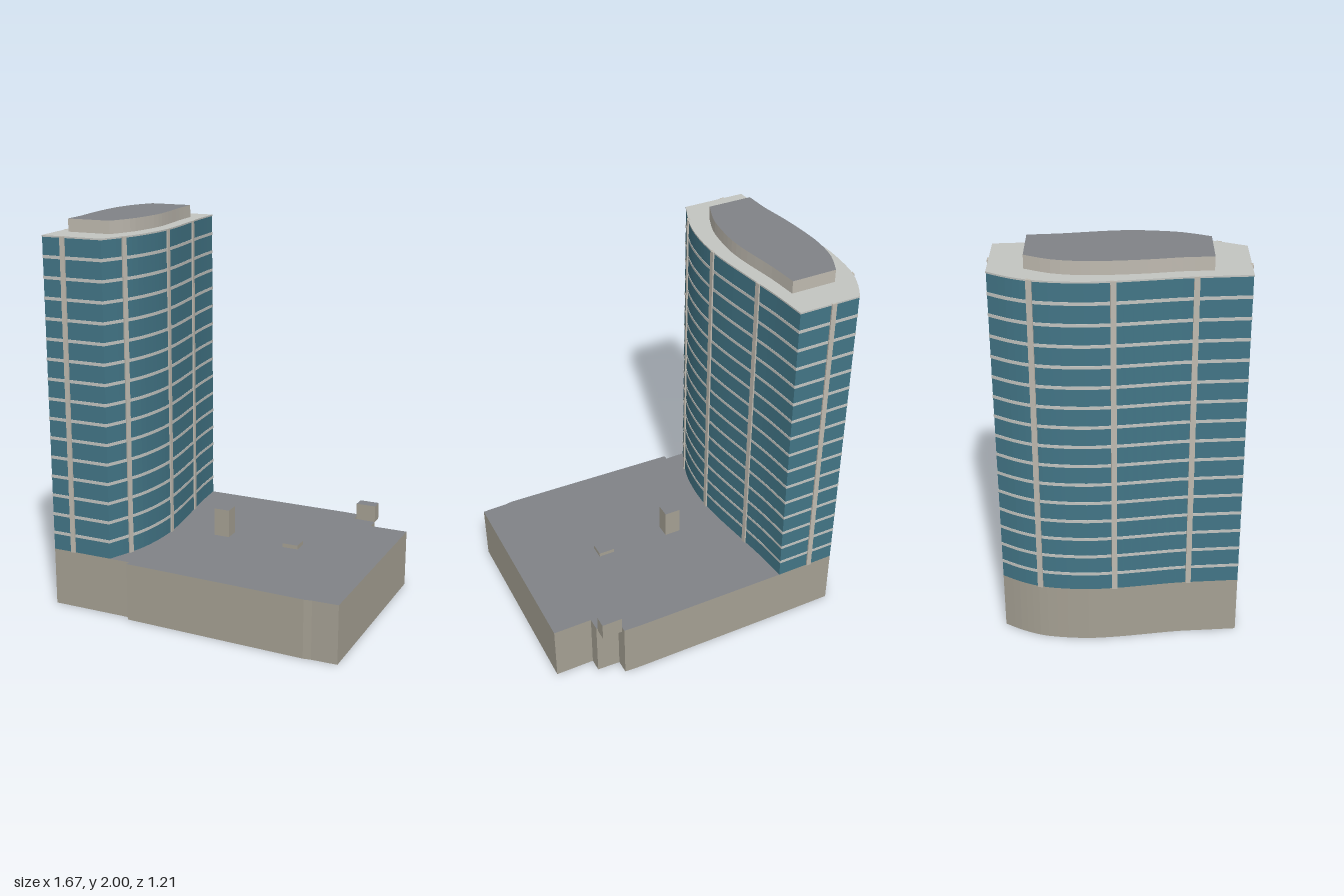
import * as THREE from 'three';

const mat = (name, color) => {
  const m = new THREE.MeshStandardMaterial({ color });
  m.name = name;
  return m;
};

export function createModel() {
  const glass = mat('blue glass', 0x427586);
  const trim = mat('pale trim', 0xc3c5c1);
  const pier = mat('warm pier', 0xbfbab0);
  const stone = mat('beige stone', 0xa5a093);
  const roof = mat('grey roof', 0x808387);

  const group = new THREE.Group();
  group.name = 'towerWithPodium';

  const add = (name, geo, material) => {
    const mesh = new THREE.Mesh(geo, material);
    mesh.name = name;
    group.add(mesh);
    return mesh;
  };

  // Upright prism over an [x, z] outline, with its own material on top
  const prism = (name, outline, y0, y1, wall, top = wall) => {
    const shape = new THREE.Shape(outline.map(([x, z]) => new THREE.Vector2(x, -z)));
    const geo = new THREE.ExtrudeGeometry(shape, { depth: y1 - y0, bevelEnabled: false });
    geo.rotateX(-Math.PI / 2).translate(0, y0, 0);
    const lids = geo.groups[0].count;
    const total = geo.attributes.position.count;
    geo.clearGroups();
    geo.addGroup(0, lids / 2, 0);
    geo.addGroup(lids / 2, lids / 2, 1);
    geo.addGroup(lids, total - lids, 0);
    return add(name, geo, [wall, top]);
  };

  // Smooth facade line through a few [x, z] points
  const smooth = (pts, n = 28) =>
    new THREE.SplineCurve(pts.map(([x, z]) => new THREE.Vector2(x, z)))
      .getPoints(n).map((p) => [p.x, p.y]);

  const baseY = 0.305, topY = 1.935;

  // Tower plan: curved east and west sides, straight ends
  const east = smooth([[-0.4, -0.6], [-0.385, -0.42], [-0.362, -0.25], [-0.335, -0.05],
    [-0.324, 0.1], [-0.332, 0.24], [-0.36, 0.38], [-0.43, 0.555]]);
  const west = smooth([[-0.76, 0.555], [-0.772, 0.38], [-0.782, 0.25], [-0.803, 0.1],
    [-0.823, -0.05], [-0.832, -0.2], [-0.815, -0.38], [-0.775, -0.5], [-0.72, -0.6]]);
  const plan = [...east, ...west];
  const grown = (d) => plan.map(([x, z]) => {
    const cx = -0.58, cz = -0.02;
    return [cx + (x - cx) * (1 + d / 0.25), cz + (z - cz) * (1 + d / 0.58)];
  });

  prism('towerBase', plan, 0, baseY, stone);
  prism('towerGlass', plan, baseY, topY - 0.008, glass);
  prism('towerRoofSlab', grown(0.002), topY - 0.008, topY, trim);

  // Floor bands
  const bandPlan = grown(0.002);
  for (let i = 0; i < 15; i++) {
    const y = 0.397 + i * 0.1024;
    prism('floorBand', bandPlan, y - 0.008, y + 0.008, trim);
  }

  // Vertical piers, turned to follow the facade
  const addPier = (x, z, angle) => {
    const mesh = add('pier', new THREE.BoxGeometry(0.026, topY - baseY, 0.016), pier);
    mesh.position.set(x, (topY + baseY) / 2, z);
    mesh.rotation.y = angle;
  };
  const pierOn = (line, z) => {
    const i = line.findIndex((p, k) => k > 0 && (line[k - 1][1] - z) * (p[1] - z) <= 0);
    const [a, b] = [line[i - 1], line[i]];
    const t = (z - a[1]) / (b[1] - a[1]);
    addPier(a[0] + (b[0] - a[0]) * t, z, Math.atan2(-(b[1] - a[1]), b[0] - a[0]));
  };
  [0.43, 0.077, -0.285].forEach((z) => pierOn(east, z));
  [0.31, -0.05, -0.41].forEach((z) => pierOn(west, z));
  addPier(-0.645, 0.555, 0);
  addPier(-0.58, -0.6, 0);

  // Rooftop plant storey
  const plant = [
    ...smooth([[-0.455, -0.44], [-0.44, -0.28], [-0.412, -0.1], [-0.401, 0.03],
      [-0.41, 0.16], [-0.43, 0.27], [-0.477, 0.39]], 18),
    ...smooth([[-0.713, 0.39], [-0.722, 0.25], [-0.745, 0.1], [-0.76, -0.06],
      [-0.762, -0.19], [-0.742, -0.32], [-0.69, -0.44]], 18),
  ];
  prism('rooftopPlant', plant, topY, 2, pier, roof);

  // Podium wrapping the east side of the tower
  const podium = [
    ...east,
    [-0.32, 0.555], [-0.32, 0.58], [0.3, 0.597], [0.65, 0.606], [0.69, 0.6], [0.822, 0.596],
    [0.833, -0.445], [0.63, -0.445], [0.63, -0.512], [0.51, -0.517], [0.51, -0.59], [0.42, -0.594],
  ];
  prism('podium', podium, 0, baseY, stone, roof);

  // Roof boxes: x0, x1, z0, z1, y0, y1
  const box = (name, x0, x1, z0, z1, y0, y1) =>
    prism(name, [[x0, z0], [x1, z0], [x1, z1], [x0, z1]], y0, y1, stone, roof);
  box('stairHead', -0.09, -0.005, -0.046, 0.03, baseY, 0.455);
  box('roofHatch', 0.308, 0.392, -0.038, 0.039, baseY, 0.326);
  box('cornerVent', 0.52, 0.627, -0.586, -0.523, 0.3, 0.392);

  return group;
}
